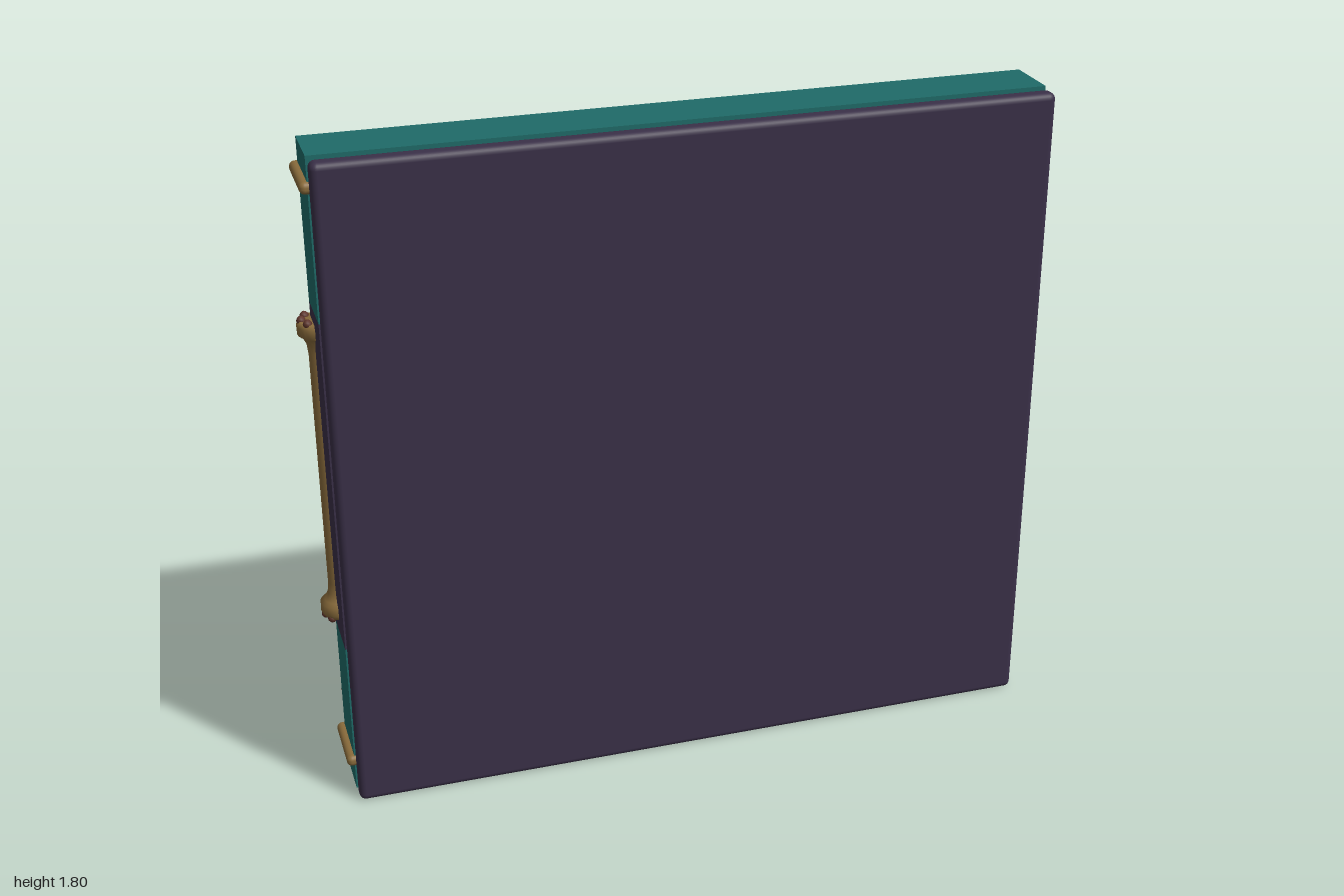
import * as THREE from 'three';
import { RoundedBoxGeometry } from 'three/addons/geometries/RoundedBoxGeometry.js';

const mat = (name, color, extra = {}) => Object.assign(new THREE.MeshStandardMaterial({ color, ...extra }), { name });

export function createModel() {
  const teal = mat('teal paint', 0x1f6b68);
  const fabric = mat('teal fabric', 0x23736f, { side: THREE.DoubleSide });
  const plum = mat('dark plum', 0x3a3048);
  const gold = mat('aged gold', 0x8a6c3c);
  const darkGold = mat('dark gold', 0x5c4527);
  const brown = mat('red brown', 0x5e352c);
  const cream = mat('parchment cream', 0xc9bb9c);
  const ink = mat('ink', 0x1d2a2c);

  const model = new THREE.Group();
  model.name = 'ornateDisplayCase';
  const add = (parent, name, geo, material, x = 0, y = 0, z = 0) => {
    const m = new THREE.Mesh(geo, material);
    m.name = name;
    m.position.set(x, y, z);
    parent.add(m);
    return m;
  };
  const box = (w, h, d) => new THREE.BoxGeometry(w, h, d);
  const round = (w, h, d, r) => new RoundedBoxGeometry(w, h, d, 3, r);
  const group = (parent, name, x = 0, y = 0, z = 0) => {
    const g = new THREE.Group();
    g.name = name;
    g.position.set(x, y, z);
    parent.add(g);
    return g;
  };

  // Plain panel and the hollow case behind it
  add(model, 'coverPanel', round(1.92, 1.8, 0.05, 0.018), plum, 0, 0.9, 0.125);
  add(model, 'lowerBlock', box(1.92, 0.44, 0.16), teal, 0, 0.22, 0);
  add(model, 'upperBlock', box(1.92, 0.43, 0.16), teal, 0, 1.585, 0);
  for (const s of [-1, 1]) add(model, 'sidePost', box(0.13, 0.93, 0.16), plum, s * 0.895, 0.905, 0);
  for (const y of [0.09, 1.72]) add(model, 'goldBand', round(1.96, 0.032, 0.19, 0.014), gold, 0, y, -0.005);

  // Columns with flared ends and a beaded crown
  const half = [[0.03, 0], [0.03, 0.33], [0.033, 0.36], [0.043, 0.38], [0.054, 0.388], [0.055, 0.412], [0.048, 0.425], [0, 0.425]];
  const profile = [...half.slice(1).reverse().map(([r, y]) => [r, -y]), ...half.slice(1)]
    .map(([r, y]) => new THREE.Vector2(r, y));
  const columnGeo = new THREE.LatheGeometry(profile, 24);
  const beadGeo = new THREE.SphereGeometry(0.012, 8, 6);
  for (const s of [-1, 1]) {
    const c = group(model, 'column', s * 0.945, 0.905, -0.055);
    add(c, 'columnShaft', columnGeo, gold);
    for (const e of [-1, 1]) for (let i = 0; i < 8; i++) {
      const a = i * Math.PI / 4;
      add(c, 'crownBead', beadGeo, brown, Math.cos(a) * 0.042, e * 0.425, Math.sin(a) * 0.042);
    }
  }

  // Decorated face: local +z points out of the case opening
  const face = group(model, 'decoratedFace');
  face.rotation.y = Math.PI;

  // Rectangular ring, centred at (0, y)
  const ring = (name, w, h, t, z0, z1, material, y) => {
    const rect = (P, a, b) => {
      const p = new P();
      p.moveTo(-a, -b); p.lineTo(a, -b); p.lineTo(a, b); p.lineTo(-a, b); p.closePath();
      return p;
    };
    const s = rect(THREE.Shape, w / 2, h / 2);
    s.holes.push(rect(THREE.Path, w / 2 - t, h / 2 - t));
    add(face, name, new THREE.ExtrudeGeometry(s, { depth: z1 - z0, bevelEnabled: false }), material, 0, y, z0);
  };
  ring('openingFrameOuter', 1.78, 1.03, 0.026, 0.08, 0.125, gold, 0.905);
  ring('openingFrameGroove', 1.73, 0.98, 0.02, 0.08, 0.1, darkGold, 0.905);
  ring('openingFrameInner', 1.70, 0.95, 0.022, 0.08, 0.114, gold, 0.905);
  ring('openingFrameLip', 1.66, 0.91, 0.01, 0.08, 0.098, darkGold, 0.905);

  // Name plate above the opening
  ring('plateFrame', 0.67, 0.135, 0.018, 0.08, 0.122, gold, 1.5);
  add(face, 'plateField', box(0.64, 0.105, 0.025), plum, 0, 1.5, 0.092);

  // Slim rails along the bands
  add(face, 'upperRail', round(1.6, 0.016, 0.025, 0.007), gold, 0, 1.678, 0.09);
  add(face, 'upperRailShade', box(1.6, 0.008, 0.02), brown, 0, 1.663, 0.088);
  add(face, 'lowerRail', round(1.66, 0.016, 0.025, 0.007), brown, 0, 0.128, 0.09);
  add(face, 'lowerRailTop', round(1.66, 0.01, 0.02, 0.004), brown, 0, 0.15, 0.088);

  // Corner brackets with studs
  for (const s of [-1, 1]) for (const y of [0.155, 1.65]) {
    const b = group(face, 'cornerBracket', s * 0.895, y, 0.095);
    add(b, 'bracketPlate', round(0.095, 0.09, 0.04, 0.014), gold);
    add(b, 'bracketStud', new THREE.SphereGeometry(0.013, 12, 8), darkGold, s * -0.012, 0.01, 0.02);
  }

  // Brown rosettes
  const rosette = (x, y) => {
    const r = group(face, 'rosette', x, y, 0.085);
    add(r, 'rosetteCentre', new THREE.SphereGeometry(0.022, 12, 8), brown).scale.z = 2.5;
    for (let i = 0; i < 6; i++) {
      const a = i * Math.PI / 3;
      const p = add(r, 'rosettePetal', new THREE.SphereGeometry(0.016, 10, 6), brown, Math.cos(a) * 0.024, Math.sin(a) * 0.017, 0.005);
      p.scale.z = 1.5;
    }
  };
  for (const s of [-1, 1]) { rosette(s * 0.805, 1.635); rosette(s * 0.2, 0.22); }

  // Scallop shell: ribs fanned from a knob at its base
  const shell = (x, y, r) => {
    const g = group(face, 'shell', x, y, 0.085);
    const back = add(g, 'shellBack', new THREE.SphereGeometry(r * 0.95, 20, 10, 0, Math.PI * 2, 0, Math.PI / 2), brown);
    back.rotation.x = Math.PI / 2;
    back.scale.set(1, 0.3, 0.6);
    back.position.y = r * 0.42;
    const rib = new THREE.SphereGeometry(1, 10, 8);
    rib.translate(0, 1, 0);
    for (let i = -4; i <= 4; i++) {
      const m = add(g, 'shellRib', rib, cream, 0, 0, 0.02);
      m.rotation.z = -i * 0.33;
      m.scale.set(r * 0.105, r * (0.53 - 0.008 * i * i), 0.034);
    }
    add(g, 'shellKnob', new THREE.SphereGeometry(r * 0.2, 12, 8), gold, 0, 0, 0.025);
  };

  // Closed outline drawn as a slim tube
  const trim = (parent, name, pts, r, material, closed = false) => {
    const path = new THREE.CurvePath();
    const v = pts.map(p => new THREE.Vector3(...p));
    if (closed) v.push(v[0].clone());
    for (let i = 1; i < v.length; i++) path.add(new THREE.LineCurve3(v[i - 1], v[i]));
    return add(parent, name, new THREE.TubeGeometry(path, 64, r, 6, false), material);
  };

  // Central shield carrying the large shell
  const shieldPts = [[-0.16, 0.31], [0.16, 0.31], [0.135, 0.21], [0.09, 0.165], [-0.09, 0.165], [-0.135, 0.21]];
  const shieldShape = new THREE.Shape(shieldPts.map(p => new THREE.Vector2(...p)));
  add(face, 'shield', new THREE.ExtrudeGeometry(shieldShape, { depth: 0.015, bevelEnabled: false }), teal, 0, 0, 0.078);
  trim(face, 'shieldTrim', shieldPts.map(([x, y]) => [x, y, 0.093]), 0.005, brown, true);
  shell(0, 0.19, 0.105);

  // Draped curtains, each with a shell below
  const W = 0.35, folds = 5;
  const drape = (u, v) => { // u across, v = 0 at the hem
    const wave = Math.abs(Math.sin(u * Math.PI * folds));
    return [(u - 0.5) * W * (1 - 0.06 * (1 - v)), 1.535 + 0.13 * v - 0.022 * wave * (1 - v), 0.087 + wave * (0.038 - 0.018 * v)];
  };
  for (const s of [-1, 1]) {
    const c = group(face, 'curtain', s * 0.595);
    const geo = new THREE.PlaneGeometry(1, 1, 60, 8);
    const p = geo.attributes.position;
    for (let i = 0; i < p.count; i++) p.setXYZ(i, ...drape(p.getX(i) + 0.5, p.getY(i) + 0.5));
    geo.computeVertexNormals();
    add(c, 'curtainCloth', geo, fabric);
    trim(c, 'curtainHem', Array.from({ length: 41 }, (_, i) => drape(i / 40, 0)), 0.004, brown);
    shell(s * 0.595, 1.455, 0.09);
    trim(face, 'shellSwag', [[-0.1, 1.5], [-0.06, 1.445], [0, 1.43], [0.06, 1.445], [0.1, 1.5]]
      .map(([x, y]) => [x + s * 0.595, y, 0.09]), 0.006, brown);
  }

  // Torn parchment sheets with an ink line and a gold seal
  for (const x of [-0.52, 0.54]) {
    const g = group(face, 'parchment', x, 0.22, 0.08);
    const pts = [];
    const jag = i => (i % 2 ? 0.007 : -0.005);
    for (let i = 0; i <= 12; i++) pts.push(new THREE.Vector2(-0.12 + i * 0.02, -0.065 + jag(i)));
    for (let i = 1; i < 6; i++) pts.push(new THREE.Vector2(0.12 + jag(i), -0.065 + i * 0.022));
    for (let i = 12; i >= 0; i--) pts.push(new THREE.Vector2(-0.12 + i * 0.02, 0.065 + jag(i)));
    for (let i = 5; i > 0; i--) pts.push(new THREE.Vector2(-0.12 + jag(i), -0.065 + i * 0.022));
    add(g, 'sheet', new THREE.ExtrudeGeometry(new THREE.Shape(pts), { depth: 0.009, bevelEnabled: false }), cream);
    trim(g, 'inkLine', [[-0.09, 0.015, 0.01], [-0.04, 0.025, 0.01], [0, -0.01, 0.01], [0.05, 0, 0.01], [0.1, -0.03, 0.01]], 0.004, ink);
    add(g, 'seal', round(0.035, 0.035, 0.025, 0.008), gold, -0.1, 0.052, 0.01);
  }

  // Small brushes above the lower brackets
  for (const s of [-1, 1]) {
    const g = group(face, 'brush', s * 0.915, 0.27, 0.105);
    g.rotation.z = 0.25;
    add(g, 'brushHandle', new THREE.CylinderGeometry(0.008, 0.014, 0.13, 10), brown, 0.012, -0.01, 0);
    add(g, 'brushTip', new THREE.SphereGeometry(0.018, 12, 8), gold, 0, 0.065, 0).scale.set(1, 1.5, 0.8);
  }

  return model;
}
